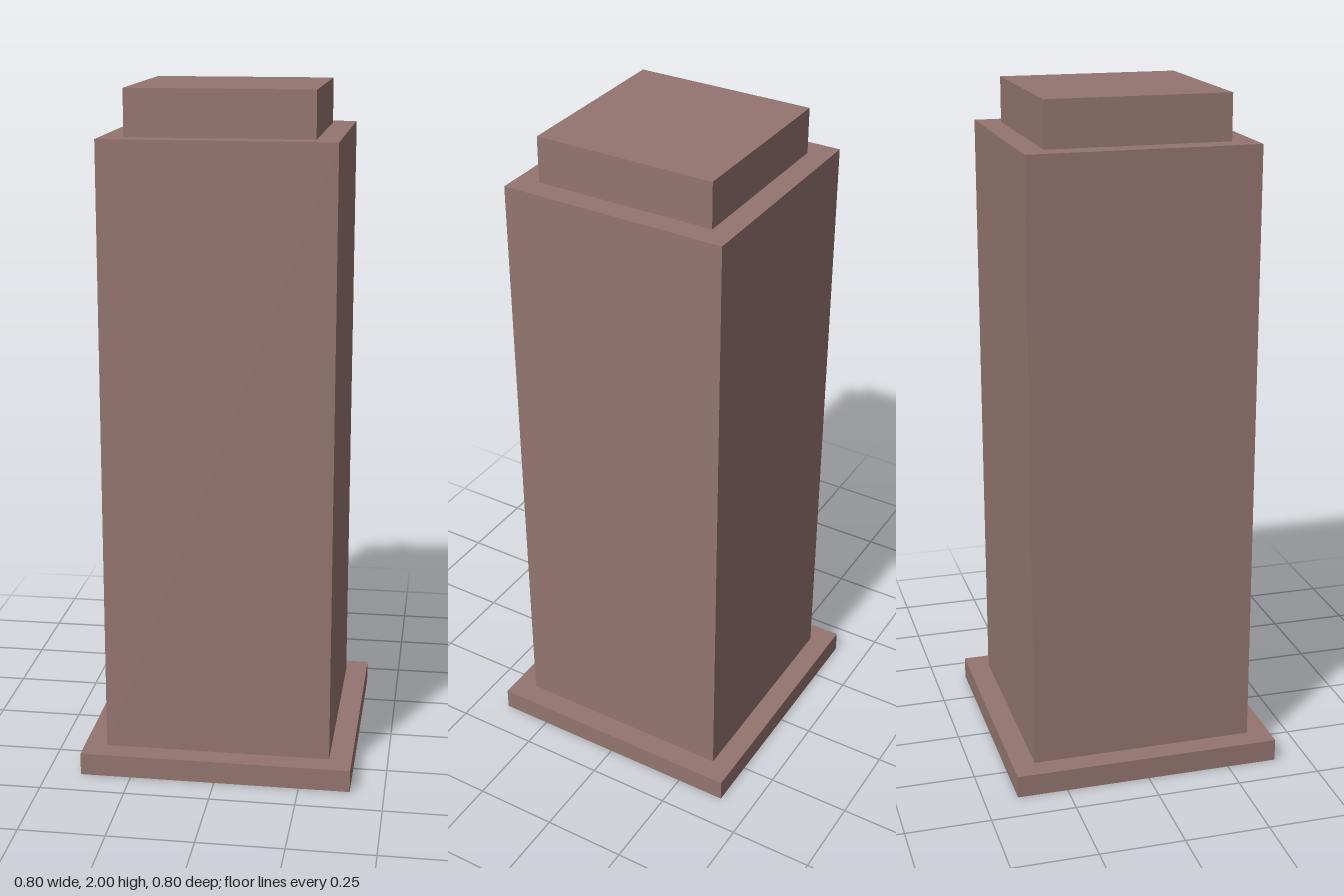
import * as THREE from 'three';

export function createModel() {
  const group = new THREE.Group();
  group.name = 'pillar';
  const stone = new THREE.MeshStandardMaterial({ color: 0x94756f });
  stone.name = 'brown stone';

  // Square tier standing between two heights
  const addTier = (name, width, bottom, top) => {
    const mesh = new THREE.Mesh(new THREE.BoxGeometry(width, top - bottom, width), stone);
    mesh.name = name;
    mesh.position.y = (bottom + top) / 2;
    group.add(mesh);
  };

  addTier('basePlinth', 0.8, 0, 0.0667);
  addTier('shaft', 0.6667, 0.0667, 1.8667);
  addTier('capBlock', 0.5333, 1.8667, 2);

  return group;
}
